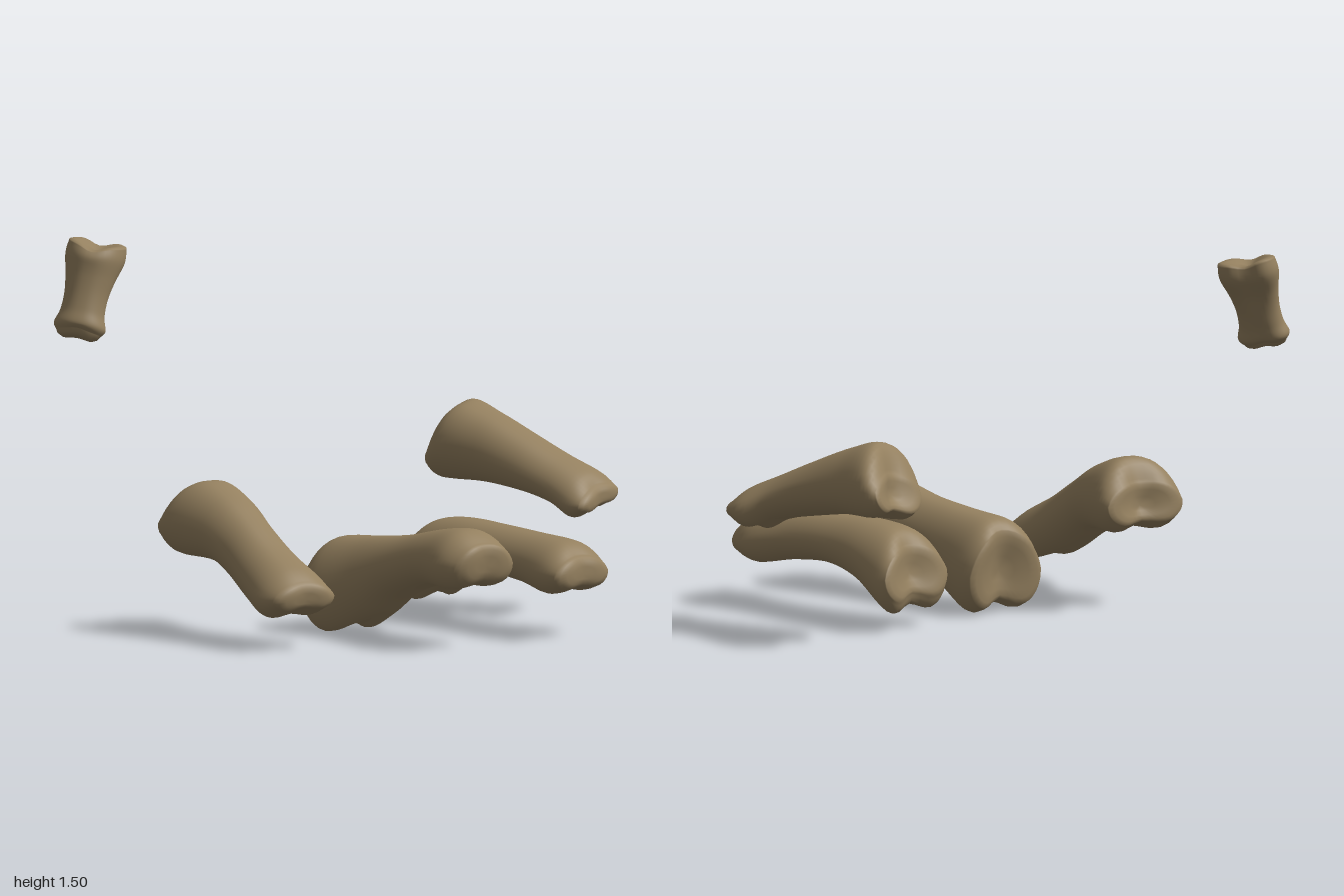
import * as THREE from 'three';
import { mergeVertices } from 'three/addons/utils/BufferGeometryUtils.js';

const SIDES = 36, STEPS = 6;

// Catmull-Rom blend of whole station rows
function sampleStations(st, s) {
  const last = st.length - 1, i = Math.min(Math.floor(s), last - 1), f = s - i;
  const p = k => st[Math.max(0, Math.min(last, k))];
  return st[i].map((_, c) => {
    const a = p(i - 1)[c], b = p(i)[c], d = p(i + 1)[c], e = p(i + 2)[c];
    return b + 0.5 * f * (d - a + f * (2 * a - 5 * b + 4 * d - e + f * (3 * (b - d) + e - a)));
  });
}

const power = (v, p) => Math.sign(v) * Math.abs(v) ** p;

// A finger bone lofted from its two-lobed base to its two knuckles.
// Station: [x, zTop, yTop, zBottom, yBottom, halfWidth, notch]; side = width direction.
function boneGeometry(side, st) {
  const w = new THREE.Vector3(...side).normalize();
  const last = st.length - 1, rings = [];
  // rounded base cap, body, rounded tip cap: [station, scale, bulge]
  [[0, -0.01], [0.35, -0.004], [0.65, 0.004], [0.87, 0.006]].forEach(([k, b]) => rings.push([0, k, -b]));
  for (let i = 0; i <= last * STEPS; i++) rings.push([i / STEPS, 1, 0]);
  [[0.9, 0.014], [0.7, 0.024], [0.4, 0.027], [0, 0.025]].forEach(([k, b]) => rings.push([last, k, b]));

  const axis = new THREE.Vector3(
    st[last][0] - st[0][0],
    (st[last][2] + st[last][4] - st[0][2] - st[0][4]) / 2,
    (st[last][1] + st[last][3] - st[0][1] - st[0][3]) / 2).normalize();
  const pos = [], index = [];
  rings.forEach(([s, scale, bulge]) => {
    const [x, zT, yT, zB, yB, hw, notch] = sampleStations(st, s);
    const up = new THREE.Vector3(-(yT - yB) * w.y / w.x, yT - yB, zT - zB).multiplyScalar(0.5);
    const mid = new THREE.Vector3(x, (yT + yB) / 2, (zT + zB) / 2);
    for (let j = 0; j < SIDES; j++) {
      const a = j / SIDES * Math.PI * 2;
      const cu = power(Math.cos(a), 0.85) * scale;
      let v = power(Math.sin(a), 0.85) * scale;
      const u = cu * (1 - 0.22 * Math.max(0, v));
      const valley = Math.exp(-((u / 0.42) ** 2));
      // groove between the lobes below, and hollow between them at the ends
      if (v < 0) v *= 1 - notch * valley;
      const hollow = valley * hw * (0.2 * Math.max(0, 1 - s / 1.5) - 0.1 * Math.max(0, 1 - (last - s)));
      const p = mid.clone().addScaledVector(w, u * hw).addScaledVector(up, v)
        .addScaledVector(axis, bulge + hollow);
      pos.push(p.x, p.y, p.z);
    }
  });
  for (let i = 0; i < rings.length - 1; i++) {
    for (let j = 0; j < SIDES; j++) {
      const a = i * SIDES + j, b = i * SIDES + (j + 1) % SIDES;
      index.push(a, b, a + SIDES, b, b + SIDES, a + SIDES);
    }
  }
  let g = new THREE.BufferGeometry();
  g.setAttribute('position', new THREE.Float32BufferAttribute(pos, 3));
  g.setIndex(index);
  g = mergeVertices(g, 1e-5);
  g.computeVertexNormals();
  return g;
}

export function createModel() {
  const model = new THREE.Group();
  model.name = 'fingerBones';
  const bone = new THREE.MeshStandardMaterial({ color: 0x94805f });
  bone.name = 'bone brown';

  const add = (name, side, stations) => {
    const mesh = new THREE.Mesh(boneGeometry(side, stations), bone);
    mesh.name = name;
    model.add(mesh);
    return mesh;
  };

  add('outerRightFingerBone', [1, 0, 0.02], [
    [-0.635, -0.25, 0.56, -0.27, 0.38, 0.175, 0.3],
    [-0.635, -0.17, 0.645, -0.20, 0.33, 0.187, 0.3],
    [-0.63, 0.00, 0.60, 0.00, 0.33, 0.15, 0.1],
    [-0.63, 0.15, 0.52, 0.12, 0.28, 0.132, 0],
    [-0.625, 0.30, 0.43, 0.26, 0.20, 0.14, 0.1],
    [-0.62, 0.44, 0.36, 0.39, 0.15, 0.158, 0.25],
    [-0.615, 0.51, 0.31, 0.49, 0.19, 0.14, 0.25]]);

  add('innerRightFingerBone', [1, 0, -0.05], [
    [-0.15, 0.00, 0.36, 0.02, 0.04, 0.175, 0.3],
    [-0.15, 0.07, 0.41, 0.12, 0.01, 0.19, 0.3],
    [-0.12, 0.25, 0.43, 0.28, 0.10, 0.155, 0.1],
    [-0.085, 0.45, 0.455, 0.42, 0.205, 0.135, 0],
    [-0.05, 0.65, 0.50, 0.62, 0.27, 0.145, 0.1],
    [-0.035, 0.80, 0.515, 0.80, 0.265, 0.165, 0.25],
    [-0.02, 0.90, 0.47, 0.88, 0.29, 0.14, 0.25]]);

  add('innerLeftFingerBone', [1, 0, -0.2], [
    [0.35, -0.07, 0.37, -0.11, 0.15, 0.175, 0.3],
    [0.35, 0.00, 0.43, -0.05, 0.085, 0.187, 0.3],
    [0.375, 0.15, 0.45, 0.15, 0.20, 0.16, 0.1],
    [0.405, 0.35, 0.445, 0.35, 0.25, 0.138, 0],
    [0.44, 0.55, 0.435, 0.55, 0.235, 0.137, 0.1],
    [0.475, 0.74, 0.42, 0.71, 0.20, 0.162, 0.25],
    [0.485, 0.82, 0.37, 0.82, 0.23, 0.145, 0.25]]);

  add('outerLeftFingerBone', [1, 0.2, -0.4], [
    [0.645, -0.36, 0.74, -0.43, 0.58, 0.165, 0.3],
    [0.65, -0.27, 0.845, -0.36, 0.535, 0.195, 0.3],
    [0.69, -0.12, 0.81, -0.14, 0.54, 0.155, 0.1],
    [0.75, 0.05, 0.735, 0.05, 0.52, 0.135, 0],
    [0.805, 0.18, 0.67, 0.18, 0.485, 0.132, 0.1],
    [0.855, 0.30, 0.61, 0.26, 0.44, 0.152, 0.25],
    [0.87, 0.35, 0.56, 0.34, 0.47, 0.135, 0.25]]);

  // small upright bone, shaped along z and then stood on its tip
  const thumb = add('thumbBone', [1, 0, 0], [
    [0, 0.035, 0.09, -0.03, -0.085, 0.115, 0.2],
    [0, 0.08, 0.095, 0.04, -0.10, 0.12, 0.2],
    [0, 0.15, 0.08, 0.14, -0.07, 0.10, 0.1],
    [0, 0.22, 0.07, 0.22, -0.06, 0.088, 0],
    [0, 0.29, 0.065, 0.29, -0.065, 0.09, 0.1],
    [0, 0.345, 0.065, 0.34, -0.075, 0.105, 0.22],
    [0, 0.37, 0.045, 0.37, -0.055, 0.09, 0.22]]);
  const base = new THREE.Vector3(-0.745, 1.52, -0.8);
  const along = new THREE.Vector3(-0.89, 1.15, -0.735).sub(base).normalize();
  const up = along.clone().cross(new THREE.Vector3(0.75, 0, 0.65)).normalize();
  const side = up.clone().cross(along);
  thumb.quaternion.setFromRotationMatrix(new THREE.Matrix4().makeBasis(side, up, along));
  thumb.position.copy(base);

  return model;
}
